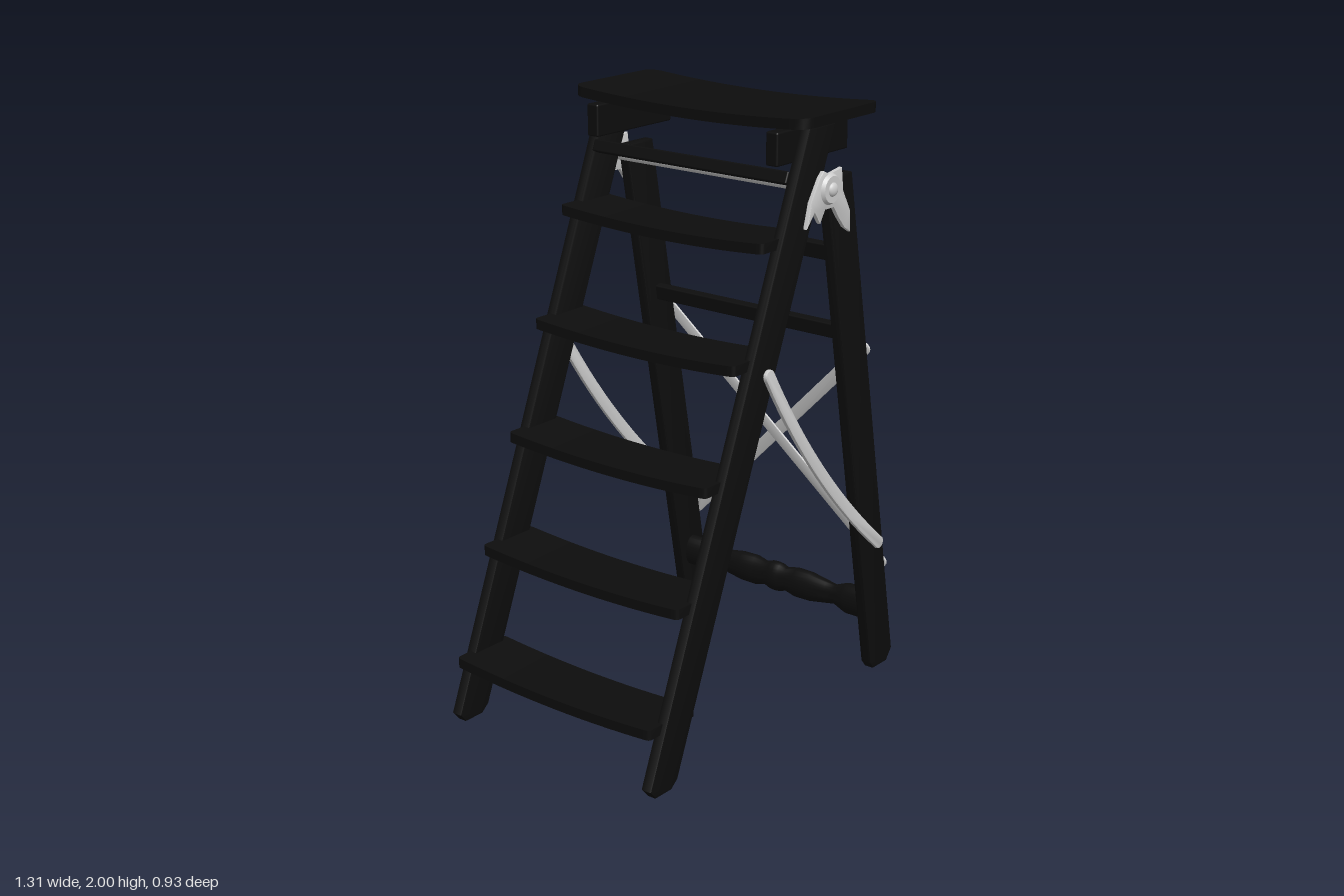
import * as THREE from 'three';
import { toCreasedNormals } from 'three/addons/utils/BufferGeometryUtils.js';
import { RoundedBoxGeometry } from 'three/addons/geometries/RoundedBoxGeometry.js';

const wood = new THREE.MeshStandardMaterial({ color: 0x0d0d0d });
const metal = new THREE.MeshStandardMaterial({ color: 0xcccccc });

export function createModel() {
  const group = new THREE.Group();

  function add(name, geometry, material, x = 0, y = 0, z = 0) {
    const mesh = new THREE.Mesh(geometry, material);
    mesh.name = name;
    mesh.position.set(x, y, z);
    group.add(mesh);
    return mesh;
  }

  // Outline in x, y extruded along z and centred on z = 0, with a small bevel
  function plate(points, depth, bevel) {
    const shape = new THREE.Shape(points.map(([x, y]) => new THREE.Vector2(x, y)));
    const geo = new THREE.ExtrudeGeometry(shape, {
      depth: depth - 2 * bevel, bevelEnabled: true, bevelThickness: bevel,
      bevelSize: bevel, bevelOffset: -bevel, bevelSegments: 2,
    });
    geo.translate(0, 0, bevel - depth / 2);
    return toCreasedNormals(geo, 0.6);
  }

  // Board sagging in the middle, with corners rounded in plan
  function saggingBoard(width, thick, length, sag, radius) {
    const geo = new THREE.BoxGeometry(width, thick, 2, 1, 1, 36);
    const p = geo.attributes.position;
    for (let i = 0; i < p.count; i++) {
      const u = Math.sin(p.getZ(i) * Math.PI / 2);
      const z = u * length / 2;
      const d = Math.max(0, Math.abs(z) - length / 2 + radius);
      const inset = radius - Math.sqrt(Math.max(0, radius * radius - d * d));
      p.setXYZ(i, Math.sign(p.getX(i)) * (width / 2 - inset), p.getY(i) + sag * (u * u - 0.5), z);
    }
    return toCreasedNormals(geo, 0.6);
  }

  // Round-ended metal strap from a to b, bowed sideways, flat against a normal
  function strap(name, a, b, normal, bow, thick) {
    const dir = b.clone().sub(a);
    const length = dir.length(), r = 0.022, upper = [], lower = [];
    dir.normalize();
    for (let i = 0; i <= 16; i++) {
      const t = i / 16, y = -bow * 4 * t * (1 - t), x = (t - 0.5) * length;
      upper.unshift([x, y + r]);
      lower.push([x, y - r]);
    }
    const cap = (x, start) => Array.from({ length: 7 }, (_, i) => {
      const angle = start + (i + 1) * Math.PI / 8;
      return [x + r * Math.cos(angle), r * Math.sin(angle)];
    });
    const outline = [...lower, ...cap(length / 2, -Math.PI / 2), ...upper, ...cap(-length / 2, Math.PI / 2)];
    const mesh = add(name, plate(outline, thick, thick * 0.3), metal);
    const side = normal.clone().cross(dir).normalize();
    mesh.quaternion.setFromRotationMatrix(new THREE.Matrix4().makeBasis(dir, side, normal));
    mesh.position.copy(a).add(b).multiplyScalar(0.5);
  }

  // Side rails, rear legs and the blocks under the seat
  const stepRail = [[-0.655, 0.03], [-0.63, 0], [-0.555, 0], [-0.525, 0.025], [0.24, 1.955], [0.105, 1.955]];
  const rearLeg = [[0.525, 0.025], [0.545, 0], [0.625, 0], [0.655, 0.04], [0.335, 1.785], [0.215, 1.785], [0.205, 1.76]];
  const hinge = [[0.14, 1.8], [0.16, 1.818], [0.19, 1.805], [0.255, 1.815], [0.265, 1.74], [0.305, 1.67],
    [0.308, 1.6], [0.275, 1.62], [0.24, 1.66], [0.215, 1.695], [0.17, 1.695], [0.145, 1.655], [0.115, 1.695], [0.075, 1.65], [0.095, 1.73]];
  for (const s of [1, -1]) {
    add('stepRail', plate(stepRail, 0.04, 0.006), wood, 0, 0, s * 0.405);
    add('rearLeg', plate(rearLeg, 0.04, 0.006), wood, 0, 0, s * 0.405);
    add('seatBlock', new RoundedBoxGeometry(0.37, 0.105, 0.045, 2, 0.006), wood, 0.185, 1.9, s * 0.358);

    // Hinge plate with washer and bolt
    add('hingePlate', plate(hinge, 0.016, 0.004), metal, 0, 0, s * 0.434);
    const washer = add('hingeWasher', new THREE.CylinderGeometry(0.042, 0.05, 0.012, 32), metal, 0.192, 1.757, s * 0.447);
    washer.rotation.x = s * Math.PI / 2;
    const bolt = add('hingeBolt', new THREE.SphereGeometry(0.023, 24, 8, 0, Math.PI * 2, 0, Math.PI / 2), metal, 0.192, 1.757, s * 0.45);
    bolt.scale.y = 0.65;
    bolt.rotation.x = s * Math.PI / 2;

    // Bowed spreader on each side and one arm of the rear cross brace
    strap('sideBrace', new THREE.Vector3(-0.1, 1.225, s * 0.436), new THREE.Vector3(0.53, 0.48, s * 0.436),
      new THREE.Vector3(0, 0, 1), 0.04, 0.016);
    const offset = s > 0 ? 0.006 : 0;
    strap('rearBrace', new THREE.Vector3(0.453 + offset, 1.175, s * 0.405), new THREE.Vector3(0.6 + offset, 0.38, -s * 0.405),
      new THREE.Vector3(0.984, 0.18, 0).normalize(), 0, 0.008);
  }

  // Hinge rod
  add('hingeRod', new THREE.CylinderGeometry(0.022, 0.022, 0.87, 24), metal, 0.192, 1.757, 0).rotation.x = Math.PI / 2;

  // Treads
  for (let i = 0; i < 5; i++) {
    add('step', saggingBoard(0.22, 0.033, 0.815, 0.017, 0.012), wood, -0.53 + i * 0.134, 0.203 + i * 0.352, 0);
  }

  // Seat
  add('seat', saggingBoard(0.4, 0.033, 0.93, 0.02, 0.045), wood, 0.225, 1.9735, 0);

  // Cross bars, tilted with the rails
  const bars = [[0.055, 1.805, 0.035, 0.04, -0.38], [0.316, 1.522, 0.03, 0.055, 0.18], [0.365, 1.25, 0.03, 0.052, 0.18]];
  for (const [x, y, w, h, tilt] of bars) {
    add('crossBar', new RoundedBoxGeometry(w, h, 0.78, 2, 0.005), wood, x, y, 0).rotation.z = tilt;
  }

  // Turned stretcher between the rear legs
  const half = [[0.39, 0], [0.39, 0.056], [0.31, 0.056], [0.295, 0.052], [0.255, 0.036], [0.22, 0.042], [0.15, 0.054], [0.09, 0.055], [0.045, 0.044], [0.02, 0.053]];
  const profile = [...half.map(([z, r]) => [-z, r]), [0, 0.055], ...half.slice().reverse()];
  const turned = new THREE.LatheGeometry(profile.map(([z, r]) => new THREE.Vector2(r, z)), 28);
  const stretcher = add('stretcher', toCreasedNormals(turned, 0.7), wood, 0.55, 0.23, 0);
  stretcher.rotation.x = Math.PI / 2;
  stretcher.scale.x = 0.65;

  return group;
}
